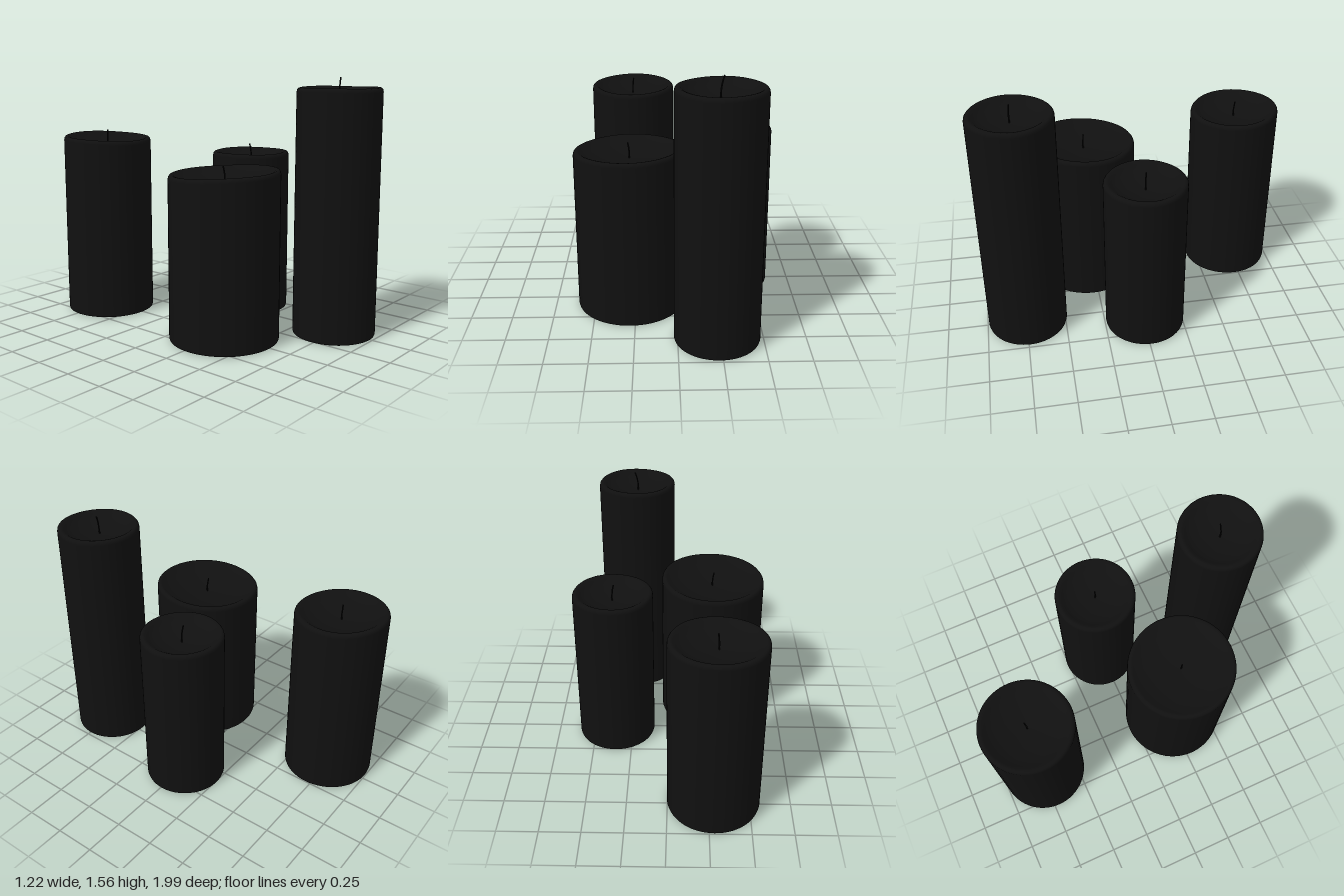
import * as THREE from 'three';

const wax = new THREE.MeshStandardMaterial({ color: 0x101010 });
const wickMat = new THREE.MeshStandardMaterial({ color: 0x080808 });

// x, z, radius, rim height, wick tip height, rim slope along x and z, wick lean
const CANDLES = [
  { name: 'tallCandle', x: 0.23, z: 0.74, r: 0.252, h: 1.5, tip: 1.555, sx: 0, sz: 0, lean: 0.012 },
  { name: 'shortCandle', x: 0.355, z: -0.01, r: 0.252, h: 1.06, tip: 1.105, sx: 0, sz: 0, lean: -0.008 },
  { name: 'wideCandle', x: -0.28, z: 0.285, r: 0.332, h: 1.016, tip: 1.045, sx: 0.008, sz: 0.014, lean: -0.006 },
  { name: 'backCandle', x: -0.28, z: -0.717, r: 0.283, h: 1.162, tip: 1.2, sx: 0, sz: -0.013, lean: 0.004 },
];

// Solid wax body: bevelled foot, straight side, rounded lip and melted hollow
function waxBody({ r, h, sx, sz }) {
  const pts = [
    [0, 0], [r - 0.012, 0], [r - 0.003, 0.004], [r, 0.014], [r, h * 0.5], [r, h - 0.026],
    [r - 0.003, h - 0.012], [r - 0.01, h - 0.003], [r - 0.02, h], [r - 0.032, h - 0.003],
    [r - 0.048, h - 0.014], [r * 0.7, h - 0.034], [r * 0.45, h - 0.05], [r * 0.2, h - 0.06], [0, h - 0.063],
  ].map(([a, b]) => new THREE.Vector2(a, b));
  const geo = new THREE.LatheGeometry(pts, 64);
  const p = geo.attributes.position;
  // Tilt and gently ripple the upper edge
  for (let i = 0; i < p.count; i++) {
    const y = p.getY(i);
    if (y < h * 0.6) continue;
    const x = p.getX(i) / r, z = p.getZ(i) / r;
    const d = Math.min(1, x * x + z * z);
    const a = Math.atan2(z, x);
    p.setY(i, y + sx * x + sz * z + 0.002 * d * Math.sin(3 * a + r * 20));
  }
  return geo;
}

// Thin, slightly bent wick standing in the hollow
function wick({ h, tip, lean }) {
  const base = h - 0.07, len = tip - base;
  const curve = new THREE.CatmullRomCurve3([
    new THREE.Vector3(-lean * 0.5, base, 0),
    new THREE.Vector3(-lean * 0.4, base + len * 0.4, 0.002),
    new THREE.Vector3(lean * 0.2, base + len * 0.75, -0.001),
    new THREE.Vector3(lean, tip, -0.003),
  ]);
  const geo = new THREE.TubeGeometry(curve, 12, 0.0045, 8);
  const top = new THREE.Mesh(new THREE.SphereGeometry(0.0045, 8, 6), wickMat);
  top.name = 'wickTip';
  top.position.set(lean, tip, -0.003);
  const mesh = new THREE.Mesh(geo, wickMat);
  mesh.name = 'wick';
  mesh.add(top);
  return mesh;
}

export function createModel() {
  const model = new THREE.Group();
  model.name = 'candles';
  for (const c of CANDLES) {
    const candle = new THREE.Group();
    candle.name = c.name;
    candle.position.set(c.x, 0, c.z);
    const body = new THREE.Mesh(waxBody(c), wax);
    body.name = 'waxBody';
    // Refresh normals, then weld the lathe seam smoothly
    const g = body.geometry;
    g.computeVertexNormals();
    const n = g.attributes.normal, rows = 15, last = n.count - rows;
    for (let i = 0; i < rows; i++) {
      const v = new THREE.Vector3().fromBufferAttribute(n, i)
        .add(new THREE.Vector3().fromBufferAttribute(n, last + i)).normalize();
      n.setXYZ(i, v.x, v.y, v.z);
      n.setXYZ(last + i, v.x, v.y, v.z);
    }
    candle.add(body, wick(c));
    model.add(candle);
  }
  return model;
}
